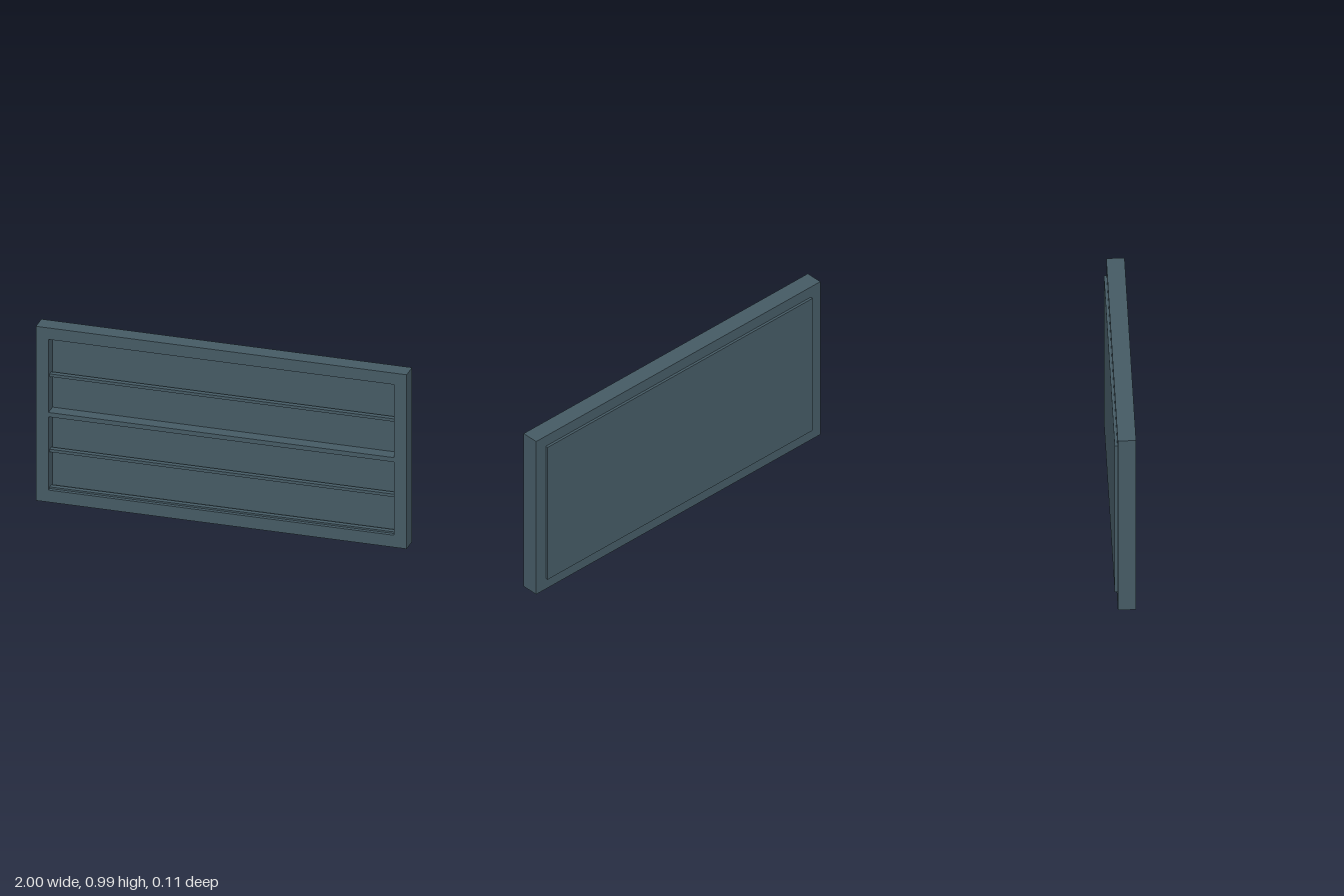
import * as THREE from 'three';

export function createModel() {
  const group = new THREE.Group();
  const slate = new THREE.MeshStandardMaterial({ color: 0x455a64 });
  slate.name = 'slate blue';

  const W = 2, H = 0.985, FRONT = 0.054, BACK = -0.04;
  const inner = { x: 0.932, bottom: 0.068, top: 0.92 };

  // Box given by its half width and its y and z limits
  function addBox(name, halfX, y0, y1, z0, z1) {
    const mesh = new THREE.Mesh(new THREE.BoxGeometry(halfX * 2, y1 - y0, z1 - z0), slate);
    mesh.position.set(0, (y0 + y1) / 2, (z0 + z1) / 2);
    mesh.name = name;
    group.add(mesh);
  }

  function rectangle(target, x, y0, y1) {
    target.moveTo(-x, y0);
    target.lineTo(x, y0);
    target.lineTo(x, y1);
    target.lineTo(-x, y1);
    target.closePath();
    return target;
  }

  // Outer frame with one large opening
  const outline = rectangle(new THREE.Shape(), W / 2, 0, H);
  outline.holes.push(rectangle(new THREE.Path(), inner.x, inner.bottom, inner.top));
  const frame = new THREE.Mesh(
    new THREE.ExtrudeGeometry(outline, { depth: FRONT - BACK, bevelEnabled: false }), slate);
  frame.position.z = BACK;
  frame.name = 'frame';
  group.add(frame);

  // Back panel stands slightly proud of the frame's rear
  addBox('backPanel', inner.x, inner.bottom, inner.top, -0.054, -0.016);

  // Middle rail, flush with the frame's front
  addBox('middleRail', inner.x, 0.482, 0.507, -0.016, FRONT);

  // Slim crossbars, set back from the front and clear of the panel
  for (const top of [0.077, 0.29, 0.716]) {
    addBox('crossbar', inner.x, Math.max(top - 0.016, inner.bottom), top, 0.004, 0.033);
  }

  return group;
}
